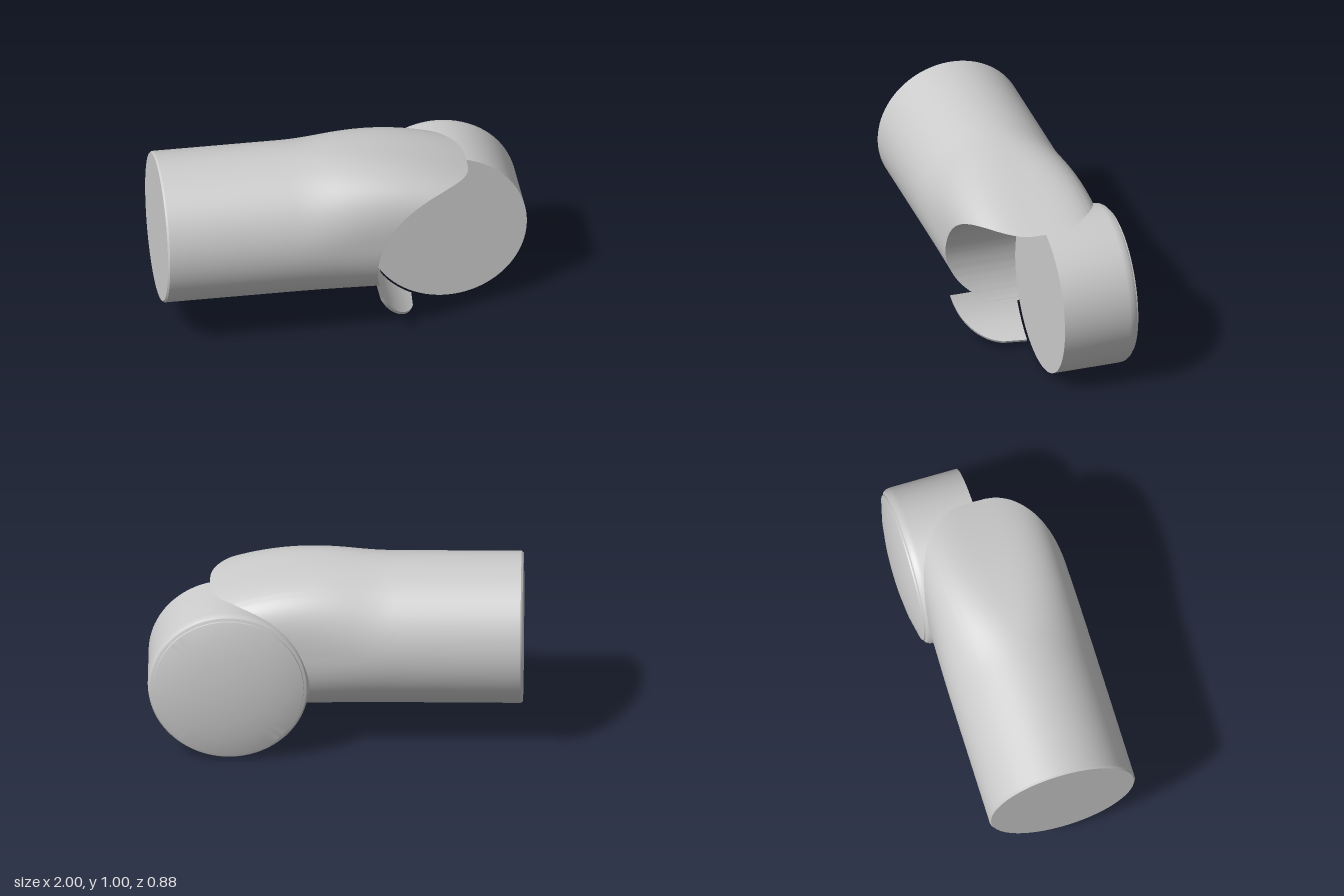
import * as THREE from 'three';
import { mergeVertices, toCreasedNormals } from 'three/addons/utils/BufferGeometryUtils.js';

const CX = 0.565, CY = 0.435, R = 0.43; // joint axis and radius
const AY = 0.595, AZ = 0.03, AR = 0.405; // arm axis and radius

// Surface grid from a rule f(i, j) -> [x, y, z]
function grid(nu, nv, f) {
  const pos = [], idx = [];
  for (let i = 0; i <= nu; i++) for (let j = 0; j <= nv; j++) pos.push(...f(i, j));
  for (let i = 0; i < nu; i++) {
    for (let j = 0; j < nv; j++) {
      const a = i * (nv + 1) + j, d = a + nv + 1;
      idx.push(a, a + 1, d + 1, a, d + 1, d);
    }
  }
  const g = new THREE.BufferGeometry();
  g.setAttribute('position', new THREE.Float32BufferAttribute(pos, 3));
  g.setIndex(idx);
  const m = mergeVertices(g, 1e-5);
  m.computeVertexNormals();
  return m;
}

// Point on the arm: a round section that grows squarer and lower toward the joint
function armPoint(x, a) {
  const k = THREE.MathUtils.smoothstep(x, -0.3, 0.5);
  const top = 1 - 0.15 * (Math.max(0, x + 0.1) / 0.78) ** 2;
  const bottom = AY - AR + 0.01 * k;
  const c = Math.cos(a), s = Math.sin(a);
  const p = 2 / (2 + (s > 0 ? 1.5 : 0.4) * k);
  const power = (v) => Math.sign(v) * Math.abs(v) ** p;
  return [
    x,
    (top + bottom) / 2 + ((top - bottom) / 2) * power(s),
    AZ + (AR - 0.015 * k) * power(c),
  ];
}

// Where an arm line runs into the round joint
function armEnd(a) {
  for (let x = 0; x < 0.7; x += 0.001) {
    const [, y, z] = armPoint(x, a);
    const r = z < -0.25 ? 0.4 : R + 0.002;
    if (Math.hypot(x - CX, y - CY) < r) return x;
  }
  return 0.7;
}

export function createModel() {
  const model = new THREE.Group();
  const material = new THREE.MeshStandardMaterial({ color: 0xcccccc });
  const thin = new THREE.MeshStandardMaterial({ color: 0xcccccc, side: THREE.DoubleSide });
  const add = (name, geometry, mat = material) => {
    const mesh = new THREE.Mesh(geometry, mat);
    mesh.name = name;
    model.add(mesh);
    return mesh;
  };

  // Arm tube, trimmed by the joint circle
  const N = 128, M = 40;
  const angle = (i) => ((i % N) / N) * Math.PI * 2;
  const ends = Array.from({ length: N }, (_, i) => armEnd(angle(i)));
  add('armTube', grid(N, M, (i, j) =>
    armPoint(THREE.MathUtils.lerp(-0.99, ends[i % N], j / M), angle(i))), thin);

  // Concave wall of the cut-out in front of the joint disc
  add('socketWall', grid(N, 6, (i, j) => {
    const [x, y, z] = armPoint(ends[i % N], angle(i));
    return [x, y, THREE.MathUtils.lerp(Math.max(z, 0.025), 0.025, j / 6)];
  }), thin);

  // Flat end of the arm with a small bevel
  const end = new THREE.CylinderGeometry(AR - 0.008, AR, 0.01, N);
  end.rotateZ(Math.PI / 2);
  end.translate(-0.995, AY, AZ);
  add('armEnd', end);

  // Joint disc: flat front, rounded back edge and shallow dome
  const profile = [
    [0, -0.44], [0.1, -0.438], [0.2, -0.43], [0.3, -0.415], [0.4, -0.39],
    [0.402, -0.382], [0.417, -0.376], [0.427, -0.36], [R, -0.335],
    [R, 0.03], [0, 0.03],
  ].map(([r, h]) => new THREE.Vector2(r, h));
  const disc = new THREE.LatheGeometry(profile, 96);
  disc.rotateX(Math.PI / 2);
  disc.translate(CX, CY, 0);
  add('jointDisc', toCreasedNormals(disc, 0.5));

  // Thin curved lip below the cut-out
  const last = THREE.MathUtils.degToRad(63.5), first = 0.4;
  const lip = grid(24, 4, (i, j) => {
    const a = THREE.MathUtils.lerp(first, last, i / 24);
    const s = Math.min(1, Math.sin(a) / Math.sin(last));
    const zMax = 0.04 + 0.37 * Math.cbrt(1 - s ** 3);
    const r = [R + 0.006, R + 0.022, R + 0.022, R + 0.006, R + 0.006][j];
    const z = [0.04, 0.04, zMax, zMax, 0.04][j];
    return [CX - r * Math.cos(a), CY - r * Math.sin(a), z];
  });
  add('lowerLip', toCreasedNormals(lip, 0.6), thin);

  return model;
}
